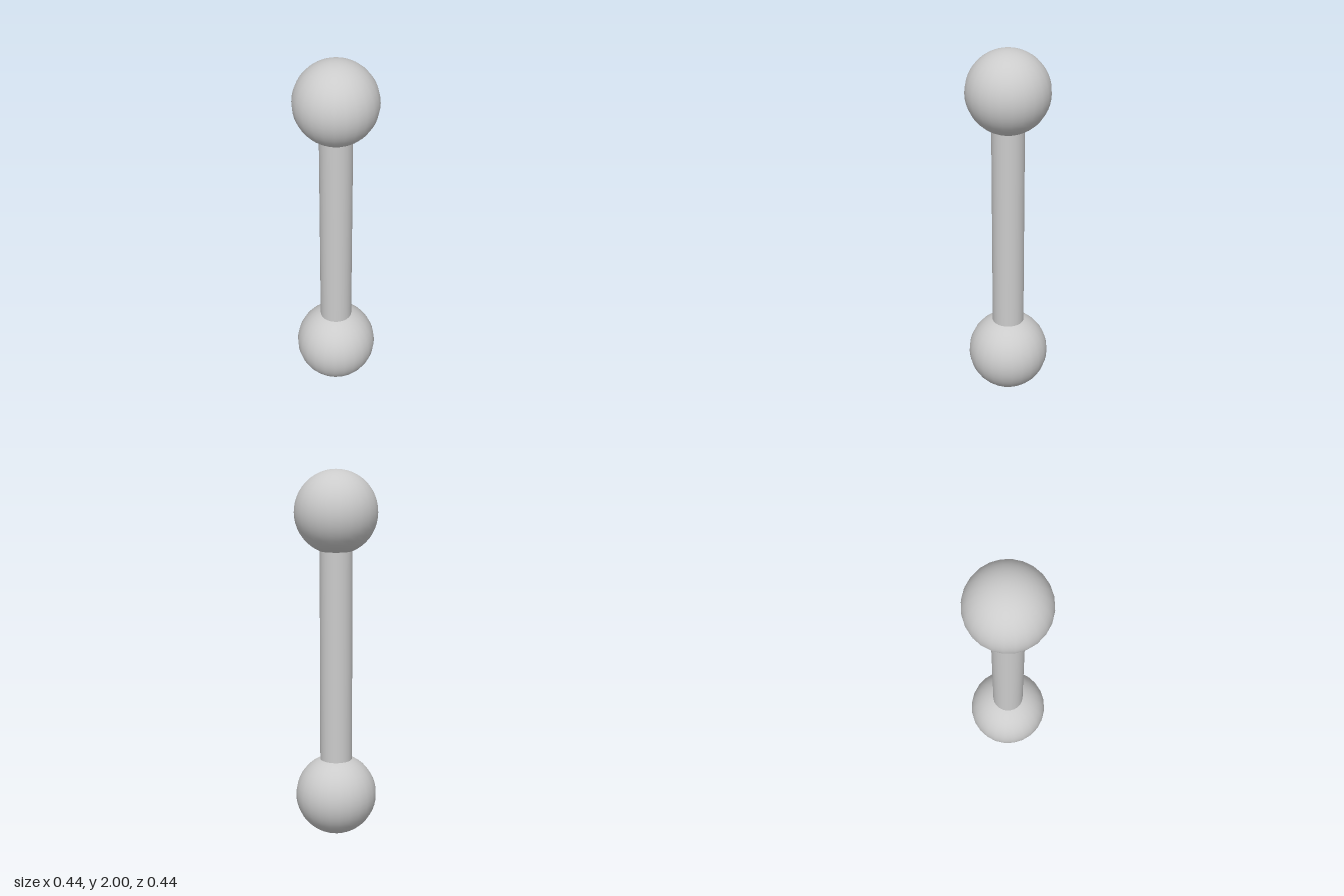
import * as THREE from 'three';

const BALL_RADIUS = 0.222;
const ROD_RADIUS = 0.088;
const HEIGHT = 2;

export function createModel() {
  const model = new THREE.Group();
  model.name = 'barbell';
  const material = new THREE.MeshStandardMaterial({ color: 0xcccccc });

  const add = (name, geometry, y) => {
    const mesh = new THREE.Mesh(geometry, material);
    mesh.name = name;
    mesh.position.y = y;
    model.add(mesh);
  };

  // Straight rod running between the ball centres
  const rodLength = HEIGHT - 2 * BALL_RADIUS;
  add('rod', new THREE.CylinderGeometry(ROD_RADIUS, ROD_RADIUS, rodLength, 24), HEIGHT / 2);

  // Matching ball at each end
  const ball = new THREE.SphereGeometry(BALL_RADIUS, 24, 24);
  add('lowerBall', ball, BALL_RADIUS);
  add('upperBall', ball, HEIGHT - BALL_RADIUS);

  return model;
}
